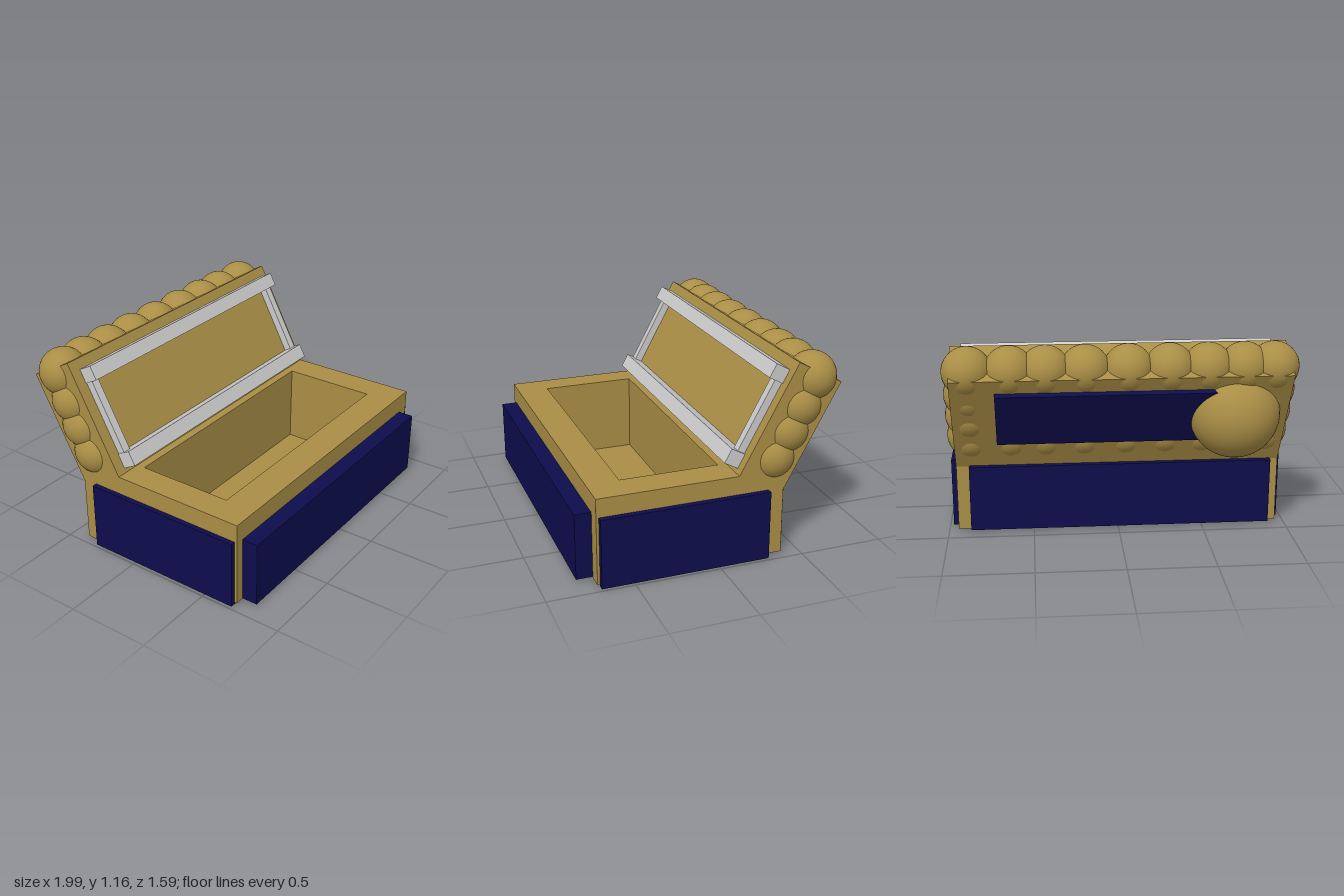
import * as THREE from 'three';

export function createModel() {
  const root = new THREE.Group();
  const tan = new THREE.MeshStandardMaterial({ color: 0xaa8e46 });
  const navy = new THREE.MeshStandardMaterial({ color: 0x0d0d4d });
  const grey = new THREE.MeshStandardMaterial({ color: 0xcccccc });

  const add = (name, geometry, material, parent = root) => {
    const mesh = new THREE.Mesh(geometry, material);
    mesh.name = name;
    parent.add(mesh);
    return mesh;
  };
  // Box given by its limits on each axis
  const box = (name, [x0, x1], [y0, y1], [z0, z1], material, parent) => {
    const mesh = add(name, new THREE.BoxGeometry(x1 - x0, y1 - y0, z1 - z0), material, parent);
    mesh.position.set((x0 + x1) / 2, (y0 + y1) / 2, (z0 + z1) / 2);
    return mesh;
  };
  const polygon = (points) => new THREE.Shape(points.map(([x, y]) => new THREE.Vector2(x, y)));

  // Front and side walls around the open compartment, extruded upwards
  const walls = new THREE.ExtrudeGeometry(polygon([
    [-0.95, 0.07], [-0.95, -0.7], [0.945, -0.7], [0.945, 0.07],
    [0.76, 0.07], [0.76, -0.51], [-0.785, -0.51], [-0.785, 0.07],
  ]), { depth: 0.51, bevelEnabled: false });
  walls.rotateX(-Math.PI / 2).translate(0, 0.01, 0);
  add('boxWalls', walls, tan);
  box('boxFloor', [-0.78, 0.755], [0.012, 0.03], [-0.068, 0.505], tan);

  // Rear wall with the leaning back, side profile (z, y) extruded across x
  const back = new THREE.ExtrudeGeometry(polygon([
    [-0.07, 0.01], [-0.07, 0.52], [-0.12, 0.52], [-0.455, 1.135],
    [-0.715, 0.995], [-0.39, 0.4], [-0.39, 0.01],
  ]), { depth: 1.895, bevelEnabled: false });
  back.rotateY(-Math.PI / 2).translate(0.945, 0, 0);
  add('leaningBack', back, tan);

  // Dark panels around the base
  box('frontPanel', [-0.9, 0.86], [0.015, 0.405], [0.69, 0.795], navy);
  box('leftPanel', [0.94, 0.98], [0, 0.41], [-0.3, 0.685], navy);
  box('rightPanel', [-0.98, -0.94], [0, 0.41], [-0.3, 0.685], navy);
  box('rearPanel', [-0.9, 0.87], [0.015, 0.405], [-0.43, -0.38], navy);

  // Parts aligned with the lean: local y runs up the slope, local z faces outwards
  const lean = new THREE.Group();
  lean.name = 'leanParts';
  lean.position.set(0, 0.52, -0.12);
  lean.rotation.x = -0.499;
  root.add(lean);
  box('frameBottomBar', [-0.885, 0.89], [0.026, 0.115], [-0.01, 0.09], grey, lean);
  box('frameTopBar', [-0.885, 0.89], [0.553, 0.639], [-0.01, 0.09], grey, lean);
  box('frameRightBar', [-0.88, -0.83], [0.1, 0.56], [-0.01, 0.047], grey, lean);
  box('frameLeftBar', [0.83, 0.88], [0.1, 0.56], [-0.01, 0.047], grey, lean);
  box('backPanel', [-0.65, 0.7], [0.235, 0.61], [-0.325, -0.28], navy, lean);

  // Rings of balls sunk into the edges of the back
  const ball = new THREE.SphereGeometry(0.14, 32, 24);
  const columns = [-0.86, -0.69, -0.485, -0.27, -0.04, 0.2, 0.42, 0.62, 0.85];
  const rows = [[1.02, -0.58], [0.87, -0.495], [0.73, -0.425], [0.585, -0.345]];
  rows.forEach(([y, z], r) => columns.forEach((x, c) => {
    const onEdge = r === 0 || r === 3 || c === 0 || c === 8;
    if (onEdge) add('edgeBall', ball, tan).position.set(x, y, z);
  }));

  // Large ball on the rear
  add('largeBall', new THREE.SphereGeometry(0.26, 48, 32), tan).position.set(-0.65, 0.74, -0.535);

  return root;
}
